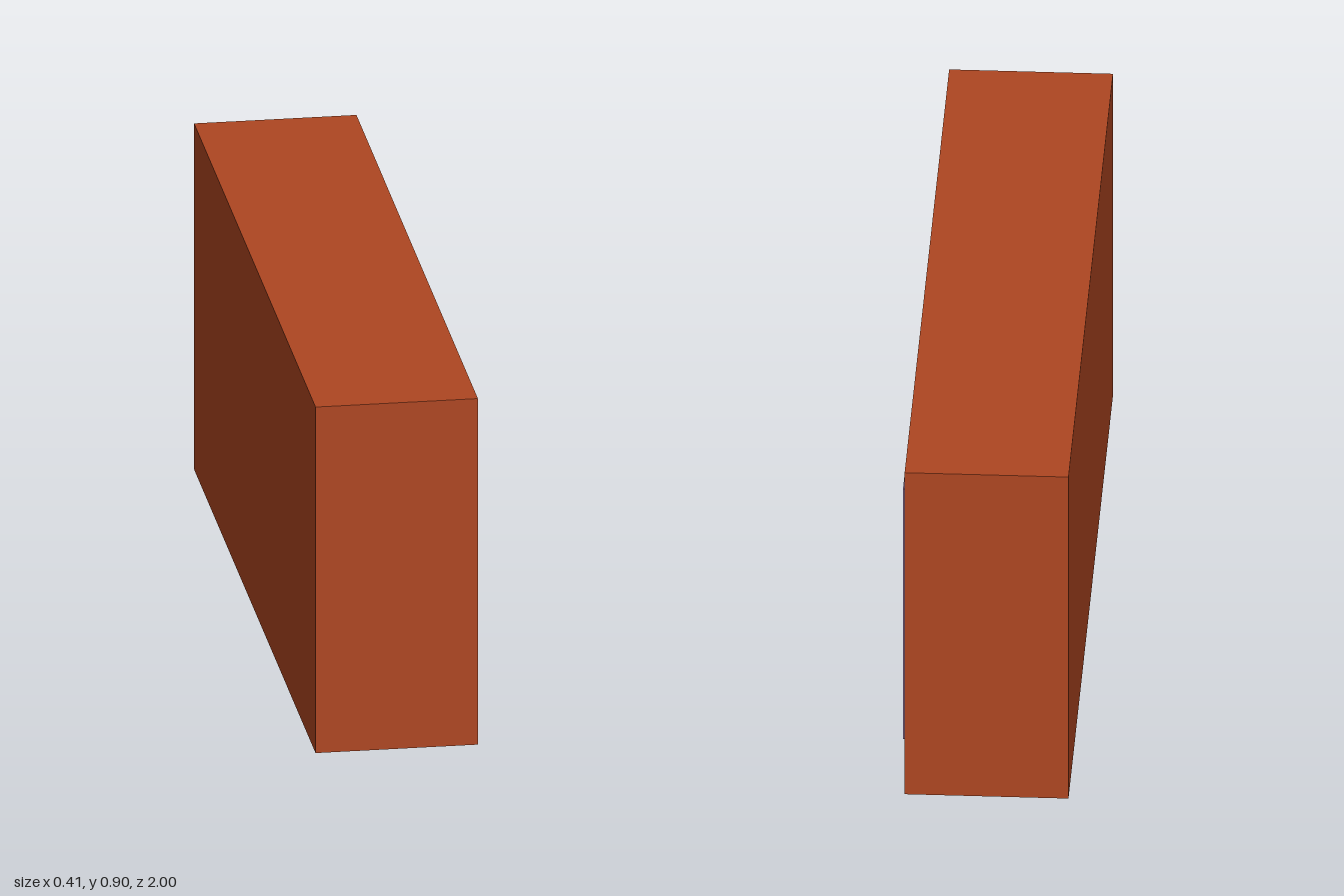
import * as THREE from 'three';

export function createModel() {
  const group = new THREE.Group();
  const rust = new THREE.MeshStandardMaterial({ color: 0xae4621 });
  rust.name = 'rust orange';
  const mauve = new THREE.MeshStandardMaterial({ color: 0x8c7096 });
  mauve.name = 'mauve';

  function box(name, size, position, material) {
    const mesh = new THREE.Mesh(new THREE.BoxGeometry(...size), material);
    mesh.name = name;
    mesh.position.set(...position);
    group.add(mesh);
  }

  // Long solid body
  box('body', [0.4, 0.9, 2], [-0.005, 0.45, 0], rust);

  // Three thin panels on the +x side: a close pair and a separate one
  [0.3, -0.157, -0.683].forEach((z, i) => {
    box(`panel${i + 1}`, [0.009, 0.7, 0.447], [0.1995, 0.452, z], mauve);
  });

  return group;
}
